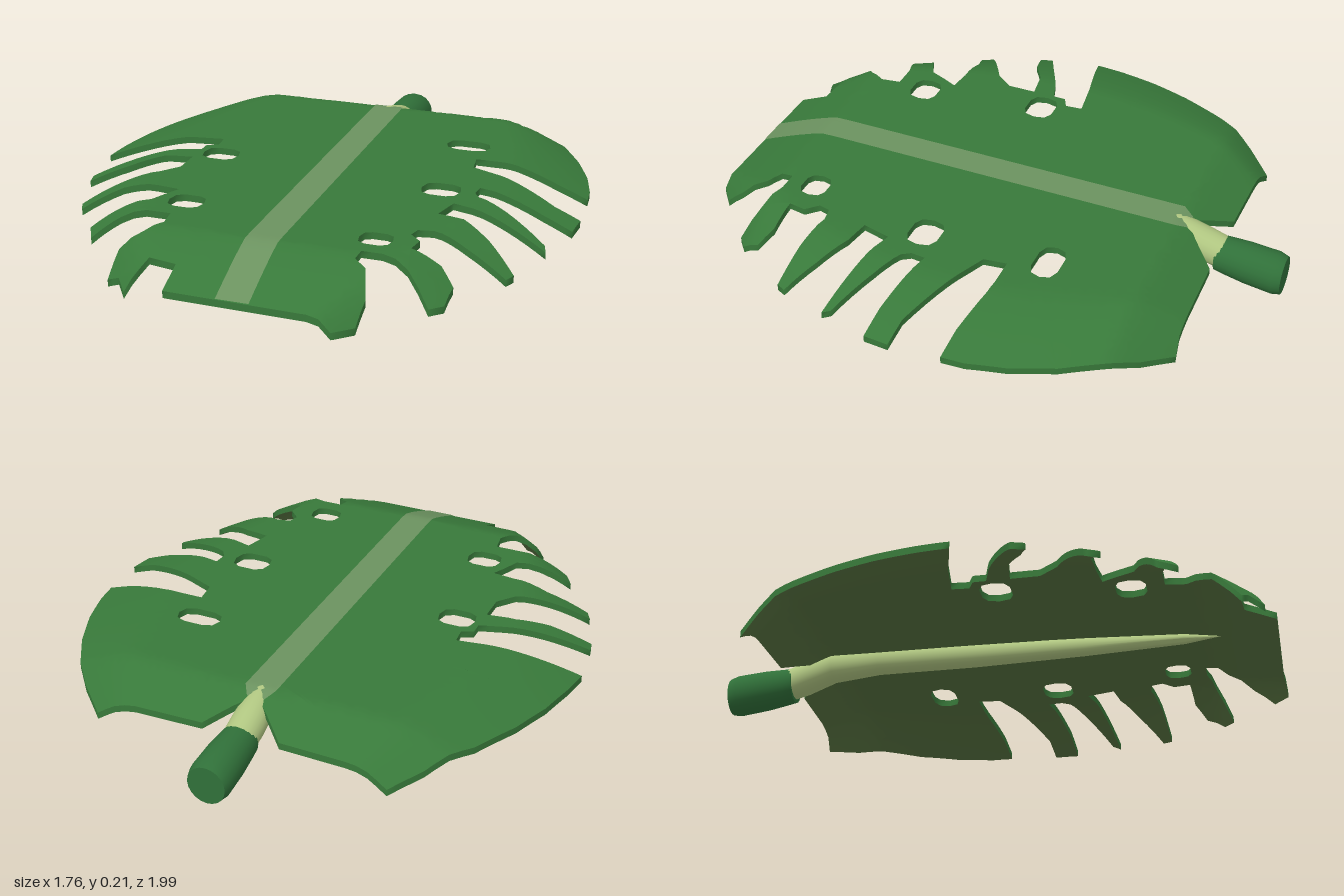
import * as THREE from 'three';
import { mergeVertices, toCreasedNormals } from 'three/addons/utils/BufferGeometryUtils.js';

const mat = (name, color) => {
  const m = new THREE.MeshStandardMaterial({ color });
  m.name = name;
  return m;
};

// Half outlines in (x, z), lobe by lobe
const leftSide = [
  0, -0.65, 0.06, -0.7, 0.135, -0.775, 0.46, -0.78, 0.52, -0.79, 0.62, -0.7, 0.69, -0.62,
  0.77, -0.485, 0.83, -0.34, 0.863, -0.21, 0.87, -0.13, 0.77, -0.14, 0.61, -0.175, 0.56, -0.18, 0.46, -0.18,
  0.47, -0.1, 0.61, -0.04, 0.79, 0.04, 0.88, 0.05, 0.87, 0.14, 0.77, 0.13, 0.65, 0.105, 0.54, 0.08,
  0.535, 0.13, 0.555, 0.16, 0.66, 0.21, 0.81, 0.29, 0.82, 0.32, 0.69, 0.29, 0.56, 0.26, 0.49, 0.24,
  0.465, 0.34, 0.555, 0.355, 0.66, 0.42, 0.757, 0.496, 0.74, 0.53, 0.61, 0.51, 0.49, 0.48, 0.44, 0.49,
  0.43, 0.53, 0.47, 0.57, 0.46, 0.63, 0.56, 0.64, 0.61, 0.68, 0.6, 0.745, 0.56, 0.78, 0.48, 0.73, 0.39, 0.7,
  0.32, 0.7, 0.315, 0.745, 0.36, 0.78, 0.39, 0.87, 0.38, 0.94, 0.32, 0.99, 0.24, 0.98,
];
const rightSide = [
  -0.23, 0.975, -0.23, 0.87, -0.325, 0.86, -0.34, 0.9, -0.38, 0.94, -0.42, 0.89, -0.47, 0.87, -0.46, 0.8,
  -0.39, 0.755, -0.35, 0.69, -0.36, 0.62, -0.445, 0.62, -0.525, 0.645, -0.62, 0.685, -0.655, 0.62,
  -0.55, 0.57, -0.47, 0.53, -0.44, 0.46, -0.42, 0.42, -0.5, 0.41, -0.63, 0.41, -0.77, 0.46, -0.79, 0.42,
  -0.66, 0.35, -0.55, 0.29, -0.5, 0.225, -0.5, 0.125, -0.6, 0.14, -0.71, 0.2, -0.85, 0.24, -0.86, 0.195,
  -0.71, 0.13, -0.58, 0.07, -0.5, 0.045, -0.5, 0, -0.46, -0.02, -0.465, -0.08, -0.6, -0.06, -0.76, -0.02,
  -0.885, 0.01, -0.87, -0.1, -0.84, -0.24, -0.79, -0.385, -0.71, -0.55, -0.6, -0.7, -0.515, -0.79,
  -0.445, -0.78, -0.14, -0.775, -0.06, -0.7,
];
const pairs = (a) => Array.from({ length: a.length / 2 }, (_, i) => new THREE.Vector2(a[2 * i], a[2 * i + 1]));

// Rounded hole: centre and half sizes
const hole = (x, z, rx, rz) => Array.from({ length: 10 }, (_, i) => {
  const a = (i / 10) * Math.PI * 2, c = Math.cos(a), s = Math.sin(a);
  const soft = (v) => Math.sign(v) * Math.pow(Math.abs(v), 0.7);
  return new THREE.Vector2(x + rx * soft(c), z + rz * soft(s));
});

// Height of the upper face: flat in the middle, drooping to the rim
function height(x, z) {
  const half = 0.9 - 0.5 * z * z;
  const t = Math.max(0, (Math.abs(x) / half - 0.65) / 0.35);
  const side = 0.09 * (1 + 0.7 * Math.max(0, z)) * Math.pow(Math.min(t, 1.1), 1.4);
  const front = 0.1 * Math.pow(Math.max(0, (z - 0.72) / 0.26), 1.15);
  const back = 0.08 * Math.pow(Math.max(0, (-0.62 - z) / 0.16), 1.1);
  return 0.21 - side - front - back;
}

const MAX_EDGE = 0.05;

// Fill an outline with small triangles by halving the longest edges
function fill(contour, holes) {
  const pts = [...contour, ...holes.flat()];
  const stack = THREE.ShapeUtils.triangulateShape(contour, holes).map((f) => f.map((i) => pts[i]));
  const out = [];
  while (stack.length) {
    const t = stack.pop();
    const d = [0, 1, 2].map((i) => t[i].distanceTo(t[(i + 1) % 3]));
    const k = d.indexOf(Math.max(...d));
    if (d[k] <= MAX_EDGE) { out.push(t); continue; }
    const a = t[k], b = t[(k + 1) % 3], c = t[(k + 2) % 3];
    const m = a.clone().add(b).multiplyScalar(0.5);
    stack.push([a, m, c], [m, b, c]);
  }
  return out;
}

function geometryOf(positions) {
  const g = new THREE.BufferGeometry();
  g.setAttribute('position', new THREE.Float32BufferAttribute(positions, 3));
  const merged = mergeVertices(g, 1e-5);
  merged.computeVertexNormals();
  return merged;
}

// Drape flat triangles over the leaf surface, facing up or down
function drape(tris, offset, up) {
  const pos = [];
  for (const [a, b, c] of tris) {
    const facesUp = (b.x - a.x) * (c.y - a.y) - (b.y - a.y) * (c.x - a.x) < 0;
    for (const p of facesUp === up ? [a, b, c] : [a, c, b]) pos.push(p.x, height(p.x, p.y) + offset, p.y);
  }
  return geometryOf(pos);
}

// Rim wall joining the upper and lower faces along one loop
function wall(loop, thickness, isHole) {
  const pos = [];
  const pts = THREE.ShapeUtils.isClockWise(loop) === isHole ? loop : [...loop].reverse();
  const quad = (a, b) => {
    if (a.distanceTo(b) > MAX_EDGE) {
      const m = a.clone().add(b).multiplyScalar(0.5);
      quad(a, m);
      quad(m, b);
      return;
    }
    const ya = height(a.x, a.y), yb = height(b.x, b.y);
    const A = [a.x, ya, a.y], B = [b.x, yb, b.y];
    const C = [b.x, yb - thickness, b.y], D = [a.x, ya - thickness, a.y];
    pos.push(...A, ...B, ...C, ...A, ...C, ...D);
  };
  pts.forEach((p, i) => quad(p, pts[(i + 1) % pts.length]));
  return geometryOf(pos);
}

// Round stalk lying along z, its axis following centreY(z)
function stalk(profile, centreY) {
  const points = pairs(profile);
  const g = new THREE.LatheGeometry(points, 20).rotateX(Math.PI / 2);
  const p = g.attributes.position;
  for (let i = 0; i < p.count; i++) p.setY(i, p.getY(i) + centreY(p.getZ(i)));
  return toCreasedNormals(g, 0.8);
}

// Linear interpolation through (z, y) stations
const through = (stations) => (z) => {
  const s = pairs(stations);
  let i = 0;
  while (i < s.length - 2 && z > s[i + 1].x) i++;
  return THREE.MathUtils.mapLinear(z, s[i].x, s[i + 1].x, s[i].y, s[i + 1].y);
};

export function createModel() {
  const green = mat('leafGreen', 0x38793a);
  const under = mat('undersideOlive', 0x56713f);
  const vein = mat('veinGreen', 0x6b925f);
  const pale = mat('paleStem', 0xb0c681);
  const dark = mat('sheathGreen', 0x307039);

  const model = new THREE.Group();
  model.name = 'leaf';
  const add = (name, geometry, material, parent = model) => {
    const m = new THREE.Mesh(geometry, material);
    m.name = name;
    parent.add(m);
  };

  // Blade
  const T = 0.024;
  const outline = pairs([...leftSide]).concat(pairs(rightSide));
  const holes = [
    hole(0.4, -0.302, 0.08, 0.048), hole(0.418, 0.135, 0.068, 0.056), hole(0.335, 0.598, 0.056, 0.048),
    hole(-0.415, 0.062, 0.066, 0.054), hole(-0.352, 0.507, 0.062, 0.053),
  ];
  const blade = new THREE.Group();
  blade.name = 'blade';
  model.add(blade);
  const tris = fill(outline, holes);
  add('upperFace', drape(tris, 0, true), green, blade);
  add('lowerFace', drape(tris, -T, false), under, blade);
  add('rim', wall(outline, T, false), green, blade);
  holes.forEach((h, i) => add('holeRim' + (i + 1), wall(h, T, true), green, blade));

  // Flat vein on the upper face
  const strip = pairs([
    0, -0.63, 0.03, -0.66, 0.055, -0.62, 0.055, 0.977, -0.055, 0.977, -0.055, -0.62, -0.03, -0.66,
  ]);
  add('centreVein', drape(fill(strip, []), 0.003, true), vein);

  // Pale tapering stem under the blade
  add('stem', stalk(
    [0, -0.8, 0.058, -0.8, 0.06, -0.72, 0.055, -0.62, 0.046, -0.45, 0.042, -0.1, 0.032, 0.3, 0.018, 0.65, 0, 0.78],
    through([-0.8, 0.1, -0.7, 0.13, -0.62, 0.158, -0.45, 0.166, 0, 0.158, 0.78, 0.155]),
  ), pale);

  // Sheath at the cut end
  add('stemSheath', stalk(
    [0, -1, 0.066, -1, 0.074, -0.97, 0.072, -0.87, 0.066, -0.8, 0.062, -0.765, 0, -0.765],
    through([-1, 0.074, -0.765, 0.1]),
  ), dark);

  return model;
}
